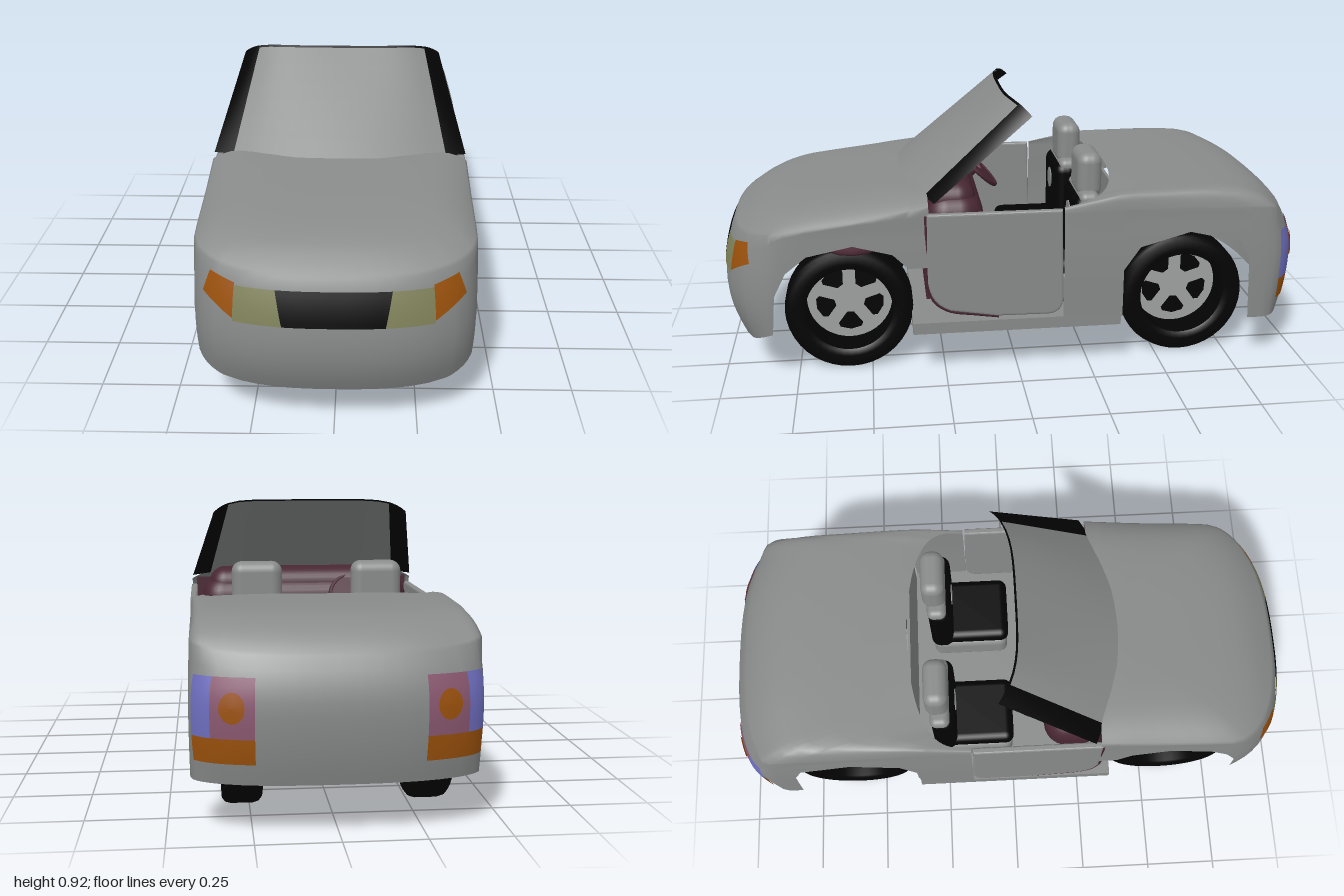
import * as THREE from 'three';
import { RoundedBoxGeometry } from 'three/addons/geometries/RoundedBoxGeometry.js';

const material = (name, color) => {
  const m = new THREE.MeshStandardMaterial({ color, side: THREE.DoubleSide });
  m.name = name;
  return m;
};
const lerp = THREE.MathUtils.lerp;

// Surface from a rule fn(u, v) -> [x, y, z] on an n by m grid
function grid(n, m, fn) {
  const pos = [], idx = [];
  for (let i = 0; i <= n; i++) for (let j = 0; j <= m; j++) pos.push(...fn(i / n, j / m, i, j));
  for (let i = 0; i < n; i++) for (let j = 0; j < m; j++) {
    const a = i * (m + 1) + j, b = a + m + 1;
    idx.push(a, b, a + 1, b, b + 1, a + 1);
  }
  const g = new THREE.BufferGeometry();
  g.setAttribute('position', new THREE.Float32BufferAttribute(pos, 3));
  g.setIndex(idx);
  g.computeVertexNormals();
  return g;
}

// Piecewise linear lookup through [key, value] pairs with rising keys
function lookup(table, k) {
  if (k <= table[0][0]) return table[0][1];
  for (let i = 1; i < table.length; i++) {
    const [k0, v0] = table[i - 1], [k1, v1] = table[i];
    if (k <= k1) return lerp(v0, v1, (k - k0) / (k1 - k0));
  }
  return table[table.length - 1][1];
}

// Body ends: dir is +1 for the nose and -1 for the tail; distances are |z|
const N = 2.6, W = 0.432;
const nose = {
  dir: 1, z0: 0.75, mid: 0.3, low: 0.045, lowSpan: 0.17, highSpan: 0.2,
  zs: [0.3, 0.36, 0.37, 0.42, 0.48, 0.55, 0.62, 0.7, 0.77, 0.81, 0.825, 0.85, 0.87, 0.89, 0.91, 0.925],
  bottom: [[0.36, 0.4], [0.37, 0.4], [0.42, 0.45], [0.55, 0.485], [0.7, 0.455], [0.77, 0.4], [0.81, 0.32], [0.825, 0.18], [0.92, 0.14], [1, 0.13]],
  shoulder: [[0.3, 0.605], [0.5, 0.57], [0.75, 0.54], [0.9, 0.515], [1, 0.5]],
  crest: [[0.3, 0.645], [0.4, 0.638], [0.67, 0.608], [0.86, 0.592], [1, 0.56]],
  inner: () => [0, 0.3],
};
const tail = {
  dir: -1, z0: 0.85, mid: 0.375, low: 0.03, lowSpan: 0.215, highSpan: 0.145,
  zs: [0.15, 0.25, 0.345, 0.355, 0.41, 0.5, 0.58, 0.67, 0.76, 0.79, 0.8, 0.85, 0.88, 0.9, 0.92, 0.94, 0.955],
  bottom: [[0.345, 0.16], [0.355, 0.36], [0.41, 0.44], [0.58, 0.487], [0.76, 0.444], [0.79, 0.375], [0.8, 0.16]],
  shoulder: [[0.15, 0.57], [0.5, 0.57], [0.85, 0.56], [1, 0.53]],
  crest: [[0.15, 0.585], [0.35, 0.627], [0.85, 0.642], [1, 0.635]],
  inner: (u) => [0.41 * Math.sin(u * Math.PI / 2), 0.15 + 0.21 * Math.max(0, Math.cos(u * Math.PI / 2)) ** 0.6],
};
const outlineX = (e, z) => z <= e.z0 ? W : W * (1 - ((z - e.z0) / (1 - e.z0)) ** N) ** (1 / N);
const outlineZ = (e, x) => e.z0 + (1 - e.z0) * (1 - (Math.abs(x) / W) ** N) ** (1 / N);

// Point on the wall of a body end above outline point (x, z)
function wall(e, x, z, y, lift = 0) {
  let nx = Math.sign(x) * (Math.abs(x) / W) ** (N - 1) / W;
  let nz = (Math.max(0, z - e.z0) / (1 - e.z0)) ** (N - 1) / (1 - e.z0);
  const l = Math.hypot(nx, nz);
  nx /= l; nz /= l;
  const tuck = y < e.mid ? e.low * ((e.mid - y) / e.lowSpan) ** 2 : 0.04 * ((y - e.mid) / e.highSpan) ** 2;
  const d = lift - Math.min(tuck, 0.05) * (0.1 + 0.9 * nz);
  return { x: x + nx * d, z: z + nz * d };
}

// Shell: wall rows with wheel arches, then a crowned cap running to the inner edge
function bodyShell(e) {
  const half = e.zs.map(z => [outlineX(e, z), z]);
  const xEnd = half[half.length - 1][0];
  for (let k = 5; k > 0; k--) half.push([xEnd * k / 6, outlineZ(e, xEnd * k / 6)]);
  const cols = [...half, [0, 1], ...half.slice().reverse().map(([x, z]) => [-x, z])];
  const caps = [0.985, 0.965, 0.94, 0.9, 0.85, 0.78, 0.68, 0.5, 0.25, 0], rows = 9, n = cols.length - 1;
  return grid(n, rows + caps.length, (u, v, i, j) => {
    const [x, z] = cols[i];
    const sh = lookup(e.shoulder, z);
    if (j <= rows) {
      const y = lerp(lookup(e.bottom, z), sh, j / rows), p = wall(e, x, z, y);
      return [p.x, y, p.z * e.dir];
    }
    const s = caps[j - rows - 1], p = wall(e, x, z, sh), [ex, ez] = e.inner(1 - 2 * u);
    const qz = lerp(ez, p.z, s);
    return [lerp(ex, p.x, s), lerp(lookup(e.crest, qz), sh, s ** 7), qz * e.dir];
  });
}

// Thin patch along a wall; corners are [x, y]: inner low, inner high, outer high, outer low
function patch(e, [a, b, c, d], side, lift) {
  return grid(12, 6, (u, v) => {
    const x = lerp(lerp(a[0], b[0], v), lerp(d[0], c[0], v), u);
    const y = lerp(lerp(a[1], b[1], v), lerp(d[1], c[1], v), u);
    const p = wall(e, x * side, outlineZ(e, x), y, lift);
    return [p.x, y, p.z * e.dir];
  });
}

export function createModel() {
  const car = new THREE.Group();
  car.name = 'convertibleCar';
  const paint = material('grey paint', 0x898b8b), black = material('black', 0x030303);
  const trim = material('maroon interior', 0x482733), rimGrey = material('rim grey', 0xa0a2a2);
  const amber = material('amber lamp', 0x9c520c), cream = material('pale yellow lamp', 0x80825a);
  const blue = material('blue lamp', 0x6e6ec0), rose = material('rose lamp', 0x8a5870);
  const add = (name, geo, mat, x = 0, y = 0, z = 0, parent = car) => {
    const m = new THREE.Mesh(geo, mat);
    m.name = name;
    m.position.set(x, y, z);
    parent.add(m);
    return m;
  };
  const box = (w, h, d) => new THREE.BoxGeometry(w, h, d);
  const soft = (w, h, d, r) => new RoundedBoxGeometry(w, h, d, 4, r);

  // Body and floor
  add('noseBody', bodyShell(nose), paint);
  add('tailBody', bodyShell(tail), paint);
  add('floor', box(0.86, 0.04, 0.71), paint, 0, 0.18, 0.005);
  add('rearBulkhead', box(0.82, 0.42, 0.01), paint, 0, 0.39, -0.355);

  // Grille and lamps, each with an outer face and a backing inside the shell
  for (const lift of [0.004, -0.004]) {
    add('grille', patch(nose, [[-0.15, 0.362], [-0.172, 0.468], [0.172, 0.468], [0.15, 0.362]], 1, lift), black);
    for (const s of [1, -1]) {
      add('headlamp', patch(nose, [[0.15, 0.362], [0.172, 0.468], [0.297, 0.468], [0.295, 0.362]], s, lift), cream);
      add('frontIndicator', patch(nose, [[0.295, 0.37], [0.297, 0.475], [0.379, 0.492], [0.392, 0.425]], s, lift), amber);
      add('tailLampOuter', patch(tail, [[0.37, 0.3], [0.37, 0.475], [0.421, 0.475], [0.421, 0.3]], s, lift), blue);
      add('tailLampInner', patch(tail, [[0.245, 0.3], [0.245, 0.475], [0.37, 0.475], [0.37, 0.3]], s, lift), rose);
      add('rearIndicator', patch(tail, [[0.245, 0.225], [0.245, 0.3], [0.421, 0.3], [0.421, 0.225]], s, lift), amber);
      add('tailLampSpot', grid(20, 2, (u, v) => {
        const x = 0.308 + 0.036 * v * Math.cos(u * 2 * Math.PI), y = 0.39 + 0.045 * v * Math.sin(u * 2 * Math.PI);
        const p = wall(tail, x * s, outlineZ(tail, x), y, lift * 2);
        return [p.x, y, -p.z];
      }), amber);
    }
  }

  // Windscreen, curved across and raked back, with black pillars and top edge
  const screen = (a0, a1, b0, b1) => grid(16, 6, (u, v) => {
    const a = lerp(a0, a1, u), b = lerp(b0, b1, v);
    return [a * lerp(0.425, 0.345, b), lerp(0.642 - 0.022 * a * a, 0.922 - 0.042 * a ** 8, b),
      lerp(0.385 - 0.105 * a * a, 0.02 - 0.07 * a ** 4, b)];
  });
  add('windscreen', screen(-0.84, 0.84, 0, 0.98), paint);
  add('windscreenTopEdge', screen(-0.84, 0.84, 0.98, 1), black);
  for (const s of [1, -1]) add('windscreenPillar', screen(0.84 * s, s, 0, 1), black);

  // Doors with a maroon seal round the front and lower edge
  const doorShape = new THREE.Shape();
  doorShape.moveTo(0.3, 0.575);
  doorShape.lineTo(-0.135, 0.575);
  doorShape.lineTo(-0.142, 0.27);
  doorShape.quadraticCurveTo(-0.142, 0.222, -0.1, 0.22);
  doorShape.lineTo(0.08, 0.222);
  doorShape.lineTo(0.23, 0.247);
  doorShape.quadraticCurveTo(0.29, 0.27, 0.3, 0.34);
  const doorGeo = new THREE.ExtrudeGeometry(doorShape, { depth: 0.012, bevelSize: 0.008, bevelThickness: 0.006, bevelSegments: 3, curveSegments: 6 });
  doorGeo.rotateY(-Math.PI / 2);
  const sealPath = [[0.58, 0.309], [0.46, 0.309], [0.34, 0.308], [0.275, 0.285], [0.24, 0.235], [0.225, 0.15], [0.213, 0.07]];
  const sealGeo = new THREE.TubeGeometry(new THREE.CatmullRomCurve3(sealPath.map(([y, z]) => new THREE.Vector3(0, y, z))), 30, 0.007, 6);
  for (const s of [1, -1]) {
    add('door', doorGeo, paint, 0.425 * s, 0, 0).scale.x = s;
    add('doorSeal', sealGeo, trim, 0.423 * s);
  }

  // Dashboard, firewall and liner under the bonnet
  add('dashboard', soft(0.78, 0.2, 0.2, 0.08), trim, 0, 0.525, 0.21);
  add('dashboardTop', soft(0.72, 0.16, 0.17, 0.06), trim, 0, 0.578, 0.22);
  add('firewall', box(0.82, 0.33, 0.012), trim, 0, 0.445, 0.306);
  add('engineLiner', new THREE.SphereGeometry(1, 24, 12), trim, 0, 0.44, 0.55).scale.set(0.38, 0.043, 0.18);

  // Steering wheel, a shallow dish with a centre pad
  const steering = new THREE.Group();
  steering.name = 'steeringWheel';
  steering.position.set(-0.19, 0.56, 0.085);
  steering.rotation.x = Math.PI / 4;
  car.add(steering);
  add('steeringRing', new THREE.TorusGeometry(0.1, 0.008, 8, 32), trim, 0, 0, 0, steering);
  add('steeringDish', new THREE.CylinderGeometry(0.1, 0.1, 0.008, 32).rotateX(Math.PI / 2), trim, 0, 0, 0, steering);
  add('steeringPad', new THREE.SphereGeometry(0.025, 16, 10), rose, 0, 0, 0, steering).scale.z = 0.4;
  add('steeringColumn', new THREE.CylinderGeometry(0.018, 0.018, 0.14, 12).rotateX(Math.PI / 2), trim, 0, 0, 0.07, steering);

  // Seats: black upholstery with grey base, back panel, shoulder roll and headrest
  for (const s of [1, -1]) {
    const seat = new THREE.Group();
    seat.name = 'seat';
    seat.position.x = 0.203 * s;
    car.add(seat);
    add('seatBase', soft(0.26, 0.12, 0.28, 0.03), paint, 0, 0.26, -0.14, seat);
    add('seatCushion', soft(0.24, 0.07, 0.27, 0.03), black, 0, 0.325, -0.13, seat);
    add('seatBack', soft(0.26, 0.3, 0.085, 0.035), black, 0, 0.435, -0.245, seat);
    add('seatPanel', new THREE.CylinderGeometry(0.04, 0.04, 0.006, 8).rotateX(Math.PI / 2), paint, 0, 0.5, -0.202, seat);
    add('seatShoulder', soft(0.25, 0.05, 0.07, 0.024), paint, 0, 0.575, -0.255, seat);
    add('headrest', soft(0.17, 0.16, 0.085, 0.035), paint, 0, 0.647, -0.262, seat);
  }

  // Wheels: deep tyre with the five-spoke rim set at its inner face
  const side = [[0.148, 0.054], [0.155, 0.06], [0.17, 0.064], [0.2, 0.062], [0.213, 0.052], [0.218, 0.035]];
  const profile = [...side.map(([r, y]) => [r, -y]), ...side.slice().reverse(), [0.148, -0.054]].map(p => new THREE.Vector2(...p));
  const tyreGeo = new THREE.LatheGeometry(profile, 40).rotateZ(Math.PI / 2);
  const rimShape = new THREE.Shape().absarc(0, 0, 0.15, 0, Math.PI * 2);
  for (let k = 0; k < 5; k++) {
    const mid = -Math.PI / 2 + k * Math.PI * 2 / 5;
    const at = (r, t) => new THREE.Vector2(r * Math.cos(mid + t), r * Math.sin(mid + t));
    rimShape.holes.push(new THREE.Path([at(0.055, -0.22), at(0.105, -0.42), at(0.117, -0.32), at(0.121, 0),
      at(0.117, 0.32), at(0.105, 0.42), at(0.055, 0.22)]));
  }
  const rimGeo = new THREE.ExtrudeGeometry(rimShape, { depth: 0.01, bevelEnabled: false, curveSegments: 32 });
  rimGeo.translate(0, 0, -0.005).rotateY(Math.PI / 2);
  const coreGeo = new THREE.CylinderGeometry(0.14, 0.14, 0.004, 32).rotateZ(Math.PI / 2);
  for (const x of [0.274, -0.308]) for (const z of [0.572, -0.59]) {
    const wheel = new THREE.Group();
    wheel.name = 'wheel';
    wheel.position.set(x, 0.218, z);
    car.add(wheel);
    const inset = -0.055 * Math.sign(x);
    add('tyre', tyreGeo, black, 0, 0, 0, wheel);
    add('rim', rimGeo, rimGrey, inset, 0, 0, wheel);
    add('wheelCore', coreGeo, black, inset, 0, 0, wheel);
  }
  return car;
}
